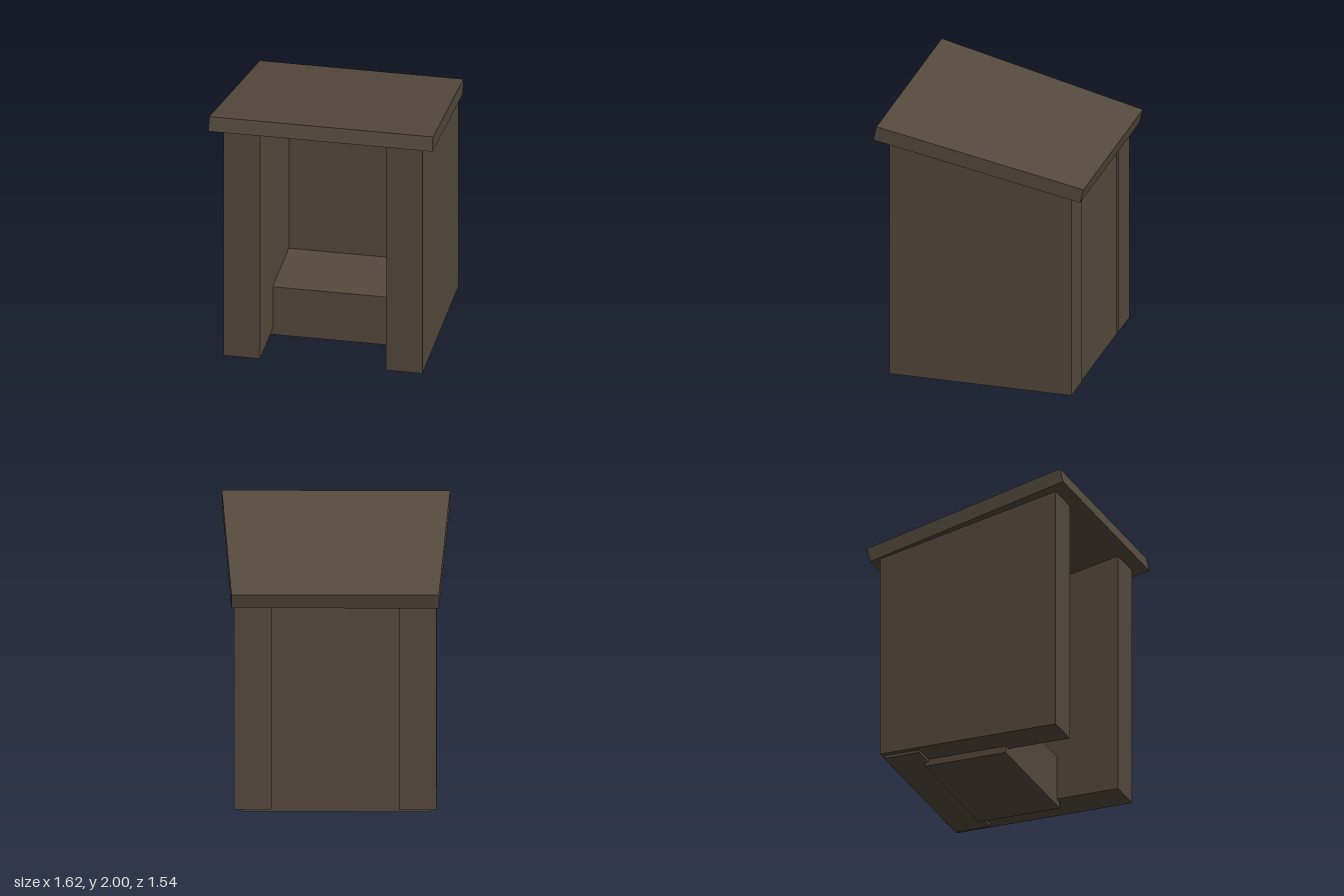
import * as THREE from 'three';

// Height of the roof's underside at depth z
const underside = (z) => 1.727 + 0.218 * z;

// Side profile given as [z, y] points, extruded across x from x0 to x1
function slab(points, x0, x1) {
  const shape = new THREE.Shape(points.map(([z, y]) => new THREE.Vector2(-z, y)));
  const geometry = new THREE.ExtrudeGeometry(shape, { depth: x1 - x0, bevelEnabled: false });
  geometry.rotateY(Math.PI / 2);
  geometry.translate(x0, 0, 0);
  return geometry;
}

// Upright panel whose top follows the sloping roof
const panel = (x0, x1, zBack, zFront, yBottom) => slab([
  [zBack, yBottom], [zFront, yBottom],
  [zFront, underside(zFront) + 0.005], [zBack, underside(zBack) + 0.005],
], x0, x1);

export function createModel() {
  const group = new THREE.Group();
  const wood = new THREE.MeshStandardMaterial({ color: 0x554a3d });
  wood.name = 'weathered wood';

  const add = (name, geometry) => {
    const mesh = new THREE.Mesh(geometry, wood);
    mesh.name = name;
    group.add(mesh);
  };

  // Thick side walls
  add('leftWall', panel(0.455, 0.72, -0.675, 0.675, 0.05));
  add('rightWall', panel(-0.72, -0.455, -0.675, 0.675, 0.05));

  // Back wall, set slightly in and reaching a little lower
  add('backWall', panel(-0.68, 0.665, -0.658, -0.39, 0.03));

  // Bench box
  const bench = new THREE.BoxGeometry(1.015, 0.385, 0.62);
  bench.translate(0, 0.1925, -0.105);
  add('bench', bench);

  // Sloping roof, narrowing towards the back
  const roof = slab([[-0.745, 1.565], [0.77, 1.895], [0.745, 2.0], [-0.77, 1.67]], -1, 1);
  const pos = roof.attributes.position;
  for (let i = 0; i < pos.count; i++) {
    const halfWidth = pos.getZ(i) > 0 ? 0.812 : 0.738;
    pos.setX(i, Math.sign(pos.getX(i)) * halfWidth);
  }
  roof.computeVertexNormals();
  add('roof', roof);

  return group;
}
